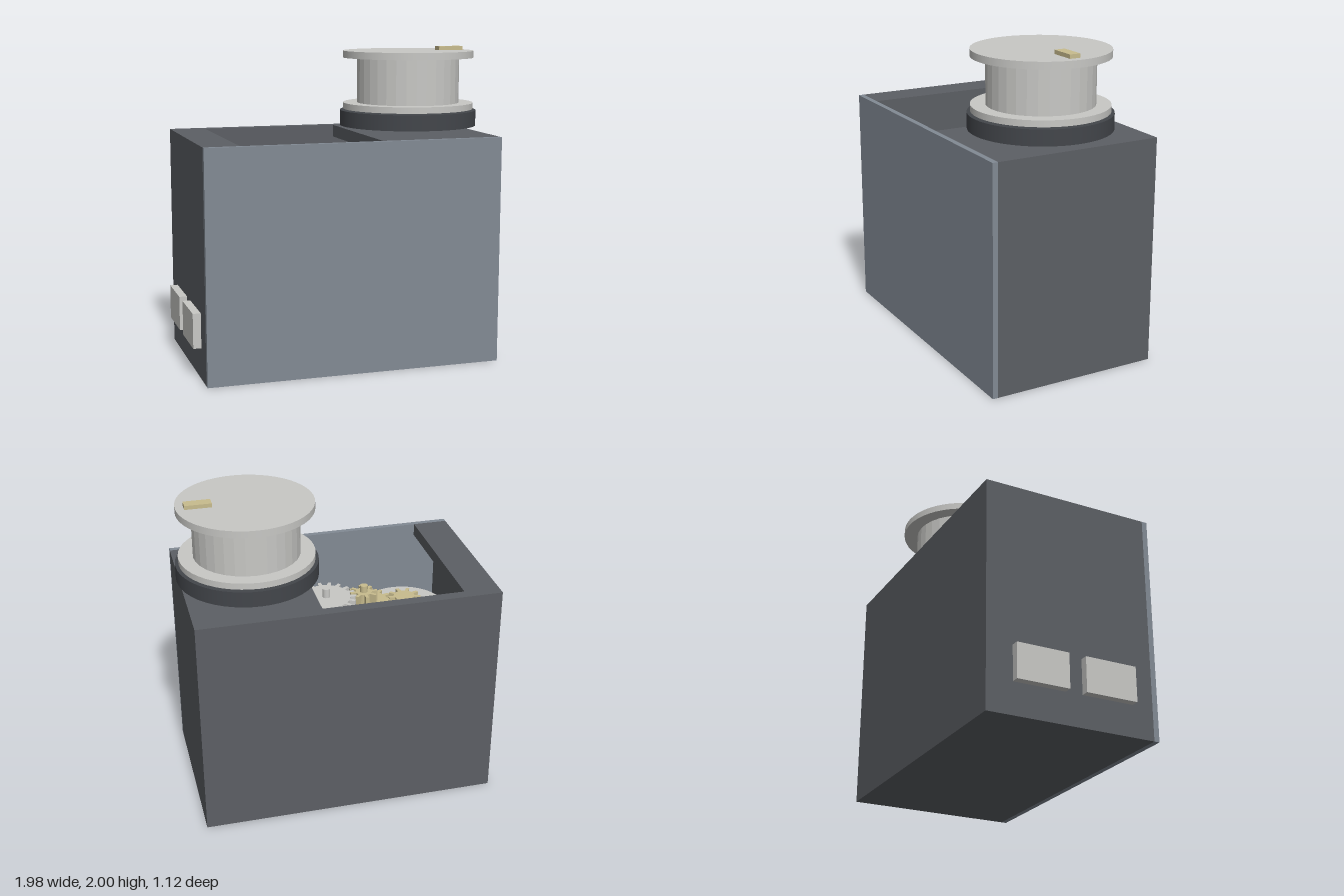
import * as THREE from 'three';

const paint = (name, color) => {
  const m = new THREE.MeshStandardMaterial({ color });
  m.name = name;
  return m;
};

export function createModel() {
  const root = new THREE.Group();
  root.name = 'gearedWinder';
  const casing = paint('charcoal casing', 0x5c5f64);
  const cover = paint('blue grey cover', 0x828a94);
  const rubber = paint('dark tray', 0x43464b);
  const metal = paint('light grey', 0xc8c8c5);
  const brass = paint('brass', 0xc8bc8e);
  const green = paint('circuit green', 0x3f8a6c);

  const add = (parent, name, geo, mat, x = 0, y = 0, z = 0) => {
    const mesh = new THREE.Mesh(geo, mat);
    mesh.name = name;
    mesh.position.set(x, y, z);
    parent.add(mesh);
    return mesh;
  };
  // box given by its lower and upper limits on each axis
  const box = (parent, name, mat, [x0, x1], [y0, y1], [z0, z1]) =>
    add(parent, name, new THREE.BoxGeometry(x1 - x0, y1 - y0, z1 - z0), mat,
      (x0 + x1) / 2, (y0 + y1) / 2, (z0 + z1) / 2);
  // upright cylinder given by its lower and upper height
  const disc = (parent, name, mat, r, x, y0, y1, sides = 48) => {
    const geo = new THREE.CylinderGeometry(r, r, y1 - y0, sides);
    return add(parent, name, geo, mat, x, (y0 + y1) / 2, 0);
  };
  const part = (name) => {
    const g = new THREE.Group();
    g.name = name;
    root.add(g);
    return g;
  };

  // hollow casing, with an opening in its top plate
  const body = part('casing');
  const depth = [-0.56, 0.525];
  box(body, 'floor', casing, [-0.94, 0.96], [0, 0.07], depth);
  box(body, 'backWall', casing, [-0.94, 0.96], [0.07, 1.45], [-0.56, -0.49]);
  box(body, 'rightWall', casing, [-0.94, -0.867], [0.07, 1.45], [-0.49, 0.525]);
  box(body, 'leftWall', casing, [0.887, 0.96], [0.07, 1.45], [-0.49, 0.525]);
  box(body, 'topPlateLeft', casing, [0.18, 0.887], [1.37, 1.45], [-0.49, 0.525]);
  box(body, 'topPlateRight', casing, [-0.867, -0.715], [1.37, 1.45], [-0.49, 0.525]);
  box(body, 'frontCover', cover, [-0.94, 0.96], [0, 1.45], [0.525, 0.56]);

  // sockets on the right wall
  for (const z of [-0.225, 0.22]) {
    box(root, 'socket', metal, [-0.99, -0.94], [0.2, 0.42], [z - 0.168, z + 0.168]);
  }

  // electronics inside
  const inside = part('electronics');
  box(inside, 'circuitBoard', green, [-0.8, 0.8], [0.12, 0.17], [-0.45, 0.44]);
  box(inside, 'frontBlock', casing, [-0.8, -0.49], [0.17, 0.4], [0, 0.28]);
  box(inside, 'backBlock', casing, [-0.45, 0.01], [0.17, 0.4], [-0.22, 0]);
  disc(inside, 'motor', metal, 0.275, -0.49, 0.6, 1.12);

  // gear train
  const train = part('gearTrain');
  const gear = (name, mat, x, y0, y1, outer, teeth, turn = 0) => {
    const inner = outer - 0.038;
    const shape = new THREE.Shape();
    const steps = [[-0.46, inner], [-0.25, inner], [-0.14, outer], [0.14, outer], [0.25, inner]];
    for (let i = 0; i < teeth; i++) {
      for (const [t, r] of steps) {
        const a = ((i + t) / teeth) * Math.PI * 2 + turn;
        const p = [r * Math.cos(a), r * Math.sin(a)];
        if (shape.curves.length || shape.currentPoint.lengthSq()) shape.lineTo(...p);
        else shape.moveTo(...p);
      }
    }
    shape.closePath();
    const geo = new THREE.ExtrudeGeometry(shape, { depth: y1 - y0, bevelEnabled: false });
    geo.rotateX(-Math.PI / 2);
    add(train, name, geo, mat, x, y0, 0);
  };
  gear('motorPinion', brass, -0.49, 1.12, 1.2, 0.105, 9);
  gear('firstWheel', brass, -0.215, 1.13, 1.19, 0.2, 18);
  gear('firstPinion', brass, -0.215, 1.19, 1.265, 0.09, 8);
  gear('secondWheel', metal, 0.035, 1.21, 1.26, 0.195, 18, Math.PI / 18);
  gear('thirdPinion', brass, 0.275, 1.2, 1.27, 0.09, 8);
  gear('outputWheel', metal, 0.54, 1.21, 1.26, 0.21, 18);
  disc(train, 'firstShaft', brass, 0.025, -0.215, 1.0, 1.31, 16);
  disc(train, 'secondShaft', metal, 0.025, 0.035, 1.0, 1.32, 16);
  disc(train, 'thirdShaft', brass, 0.025, 0.275, 1.0, 1.31, 16);

  // spool on its output shaft, over a dark tray
  const spool = part('spool');
  const cx = 0.54;
  disc(spool, 'outputShaft', metal, 0.08, cx, 1.0, 1.48, 24);
  disc(spool, 'tray', rubber, 0.445, cx, 1.49, 1.59);
  disc(spool, 'lowerFlange', metal, 0.425, cx, 1.598, 1.638);
  metal.flatShading = false;
  const drum = new THREE.CylinderGeometry(0.333, 0.333, 0.292, 32).toNonIndexed();
  drum.computeVertexNormals();
  add(spool, 'drum', drum, metal, cx, 1.784, 0);
  disc(spool, 'upperFlange', metal, 0.425, cx, 1.93, 1.975);
  box(spool, 'topMarker', brass, [0.745, 0.912], [1.975, 2], [-0.035, 0.035]);
  box(spool, 'trayMarker', brass, [0.85, 0.93], [1.588, 1.6], [-0.04, 0.04]);
  return root;
}
